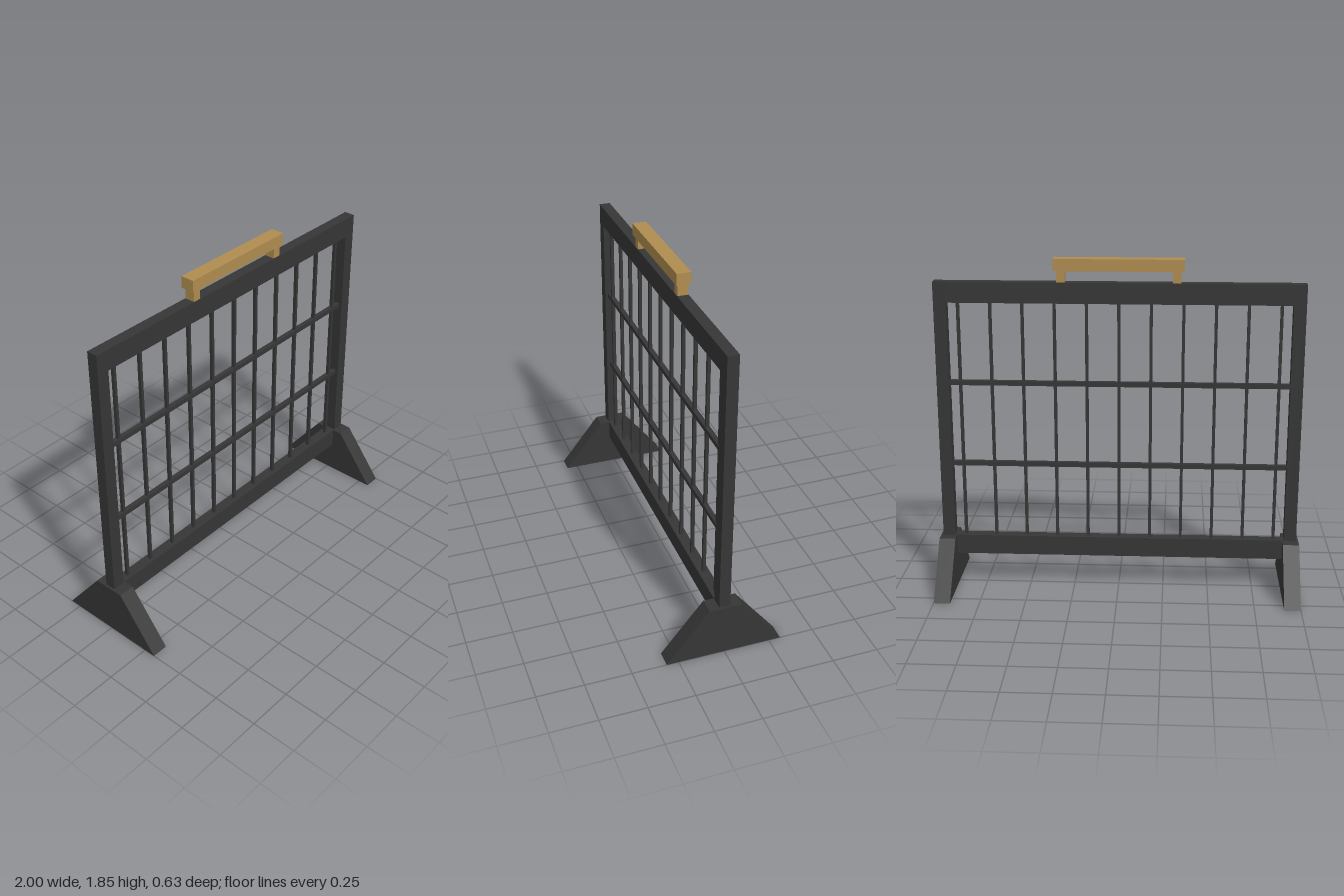
import * as THREE from 'three';

export function createModel() {
  const model = new THREE.Group();
  const iron = new THREE.MeshStandardMaterial({ color: 0x363636 });
  iron.name = 'dark iron';
  const brass = new THREE.MeshStandardMaterial({ color: 0xb08d50 });
  brass.name = 'brass';

  function box(name, material, w, h, d, x, y, z = 0) {
    const mesh = new THREE.Mesh(new THREE.BoxGeometry(w, h, d), material);
    mesh.name = name;
    mesh.position.set(x, y, z);
    model.add(mesh);
  }

  // Outer frame
  const innerWidth = 1.84;
  box('topRail', iron, innerWidth, 0.112, 0.06, 0, 1.669);
  box('bottomRail', iron, innerWidth, 0.11, 0.06, 0, 0.235);

  // Trapezoid foot, extruded across x
  const profile = new THREE.Shape([
    new THREE.Vector2(-0.315, 0), new THREE.Vector2(0.315, 0),
    new THREE.Vector2(0.087, 0.288), new THREE.Vector2(-0.087, 0.288),
  ]);
  const footGeometry = new THREE.ExtrudeGeometry(profile, { depth: 0.09, bevelEnabled: false });
  footGeometry.translate(0, 0, -0.045);
  footGeometry.rotateY(Math.PI / 2);

  for (const side of [-1, 1]) {
    const label = side > 0 ? 'left' : 'right';
    box(label + 'Post', iron, 0.067, 1.545, 0.06, side * 0.9535, 0.9525);
    const foot = new THREE.Mesh(footGeometry, iron);
    foot.name = label + 'Foot';
    foot.position.x = side * 0.955;
    model.add(foot);
    // Handle support
    box(label + 'HandleSupport', brass, 0.045, 0.064, 0.056, side * 0.307, 1.756);
  }

  // Grille
  for (let i = -5; i <= 5; i++) {
    box('verticalBar', iron, 0.016, 1.325, 0.018, i * 0.1723, 0.9515);
  }
  for (const y of [0.71, 1.17]) {
    box('crossBar', iron, innerWidth, 0.026, 0.026, 0, y);
  }

  // Carrying handle
  box('handleGrip', brass, 0.69, 0.064, 0.076, 0, 1.819);

  return model;
}
